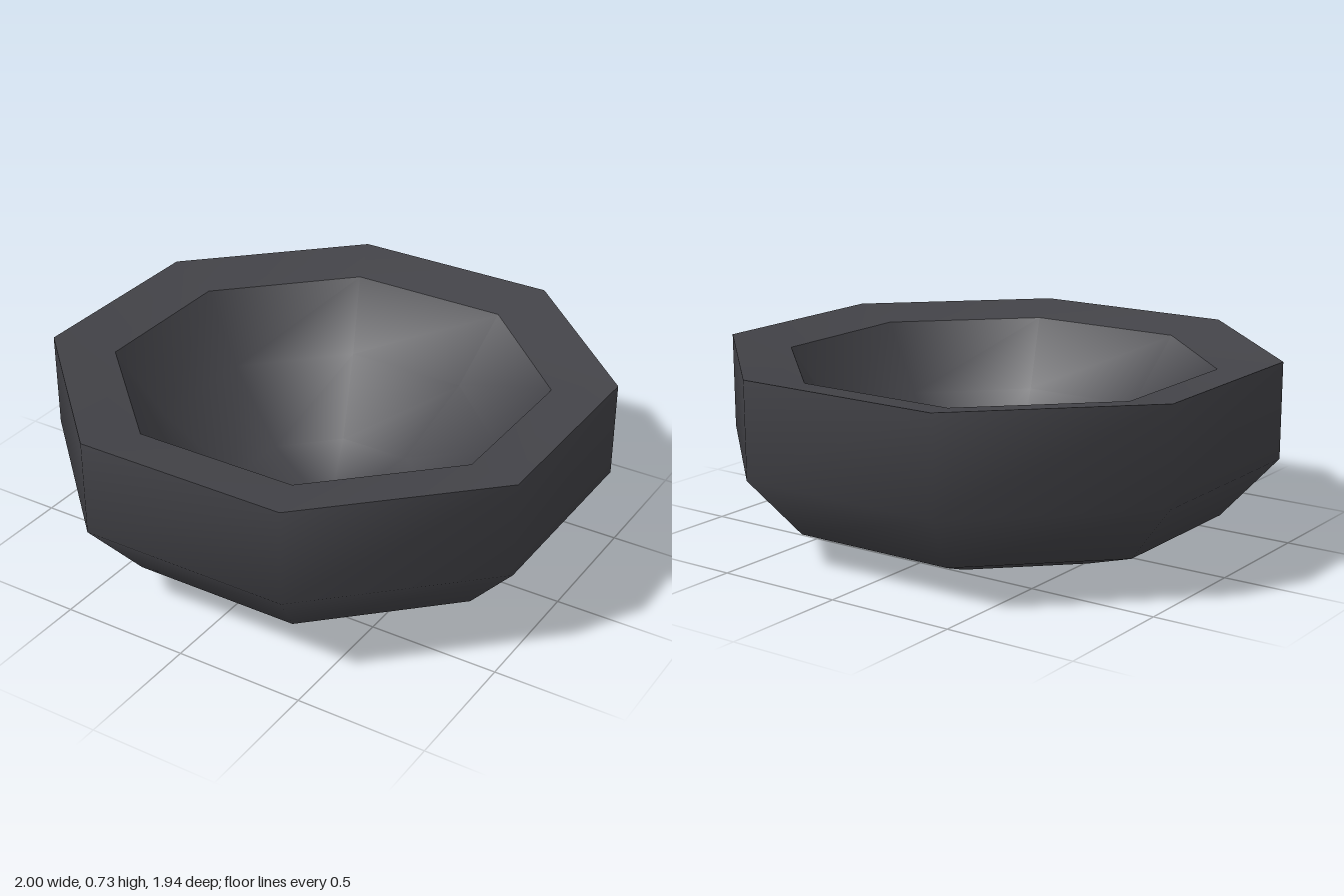
import * as THREE from 'three';
import { mergeVertices } from 'three/addons/utils/BufferGeometryUtils.js';

// Octagon outline of the bowl, as [x, z] at full width
const corners = [
  [1, 0.4], [0.415, 0.97], [-0.415, 0.97], [-1, 0.4],
  [-1, -0.4], [-0.415, -0.97], [0.415, -0.97], [1, -0.4],
];

// Skins a profile of [scale, y] octagon rings with shared, smooth vertices
function octagonShell(profile) {
  const positions = [];
  const index = [];
  const n = corners.length;
  for (const [s, y] of profile) {
    for (const [x, z] of corners) positions.push(x * s, y, z * s);
  }
  for (let r = 0; r < profile.length - 1; r++) {
    for (let i = 0; i < n; i++) {
      const a = r * n + i;
      const b = r * n + (i + 1) % n;
      if (profile[r][0] > 0) index.push(a, a + n, b);
      if (profile[r + 1][0] > 0) index.push(b, a + n, b + n);
    }
  }
  const geometry = new THREE.BufferGeometry();
  geometry.setAttribute('position', new THREE.Float32BufferAttribute(positions, 3));
  geometry.setIndex(index);
  const merged = mergeVertices(geometry);
  merged.computeVertexNormals();
  return merged;
}

export function createModel() {
  const charcoal = new THREE.MeshStandardMaterial({ color: 0x434348 });
  charcoal.name = 'charcoal';

  const parts = {
    // Rounded underside rising into upright walls
    outerWall: [[0, 0], [0.56, 0.03], [0.8, 0.12], [1, 0.355], [1, 0.725]],
    // Lip sloping gently inwards
    rim: [[1, 0.725], [0.775, 0.685]],
    // Evenly curved hollow inside
    innerBowl: [[0.775, 0.685], [0.6, 0.42], [0.35, 0.17], [0, 0.06]],
  };

  const bowl = new THREE.Group();
  bowl.name = 'bowl';
  for (const [name, profile] of Object.entries(parts)) {
    const mesh = new THREE.Mesh(octagonShell(profile), charcoal);
    mesh.name = name;
    bowl.add(mesh);
  }
  return bowl;
}
